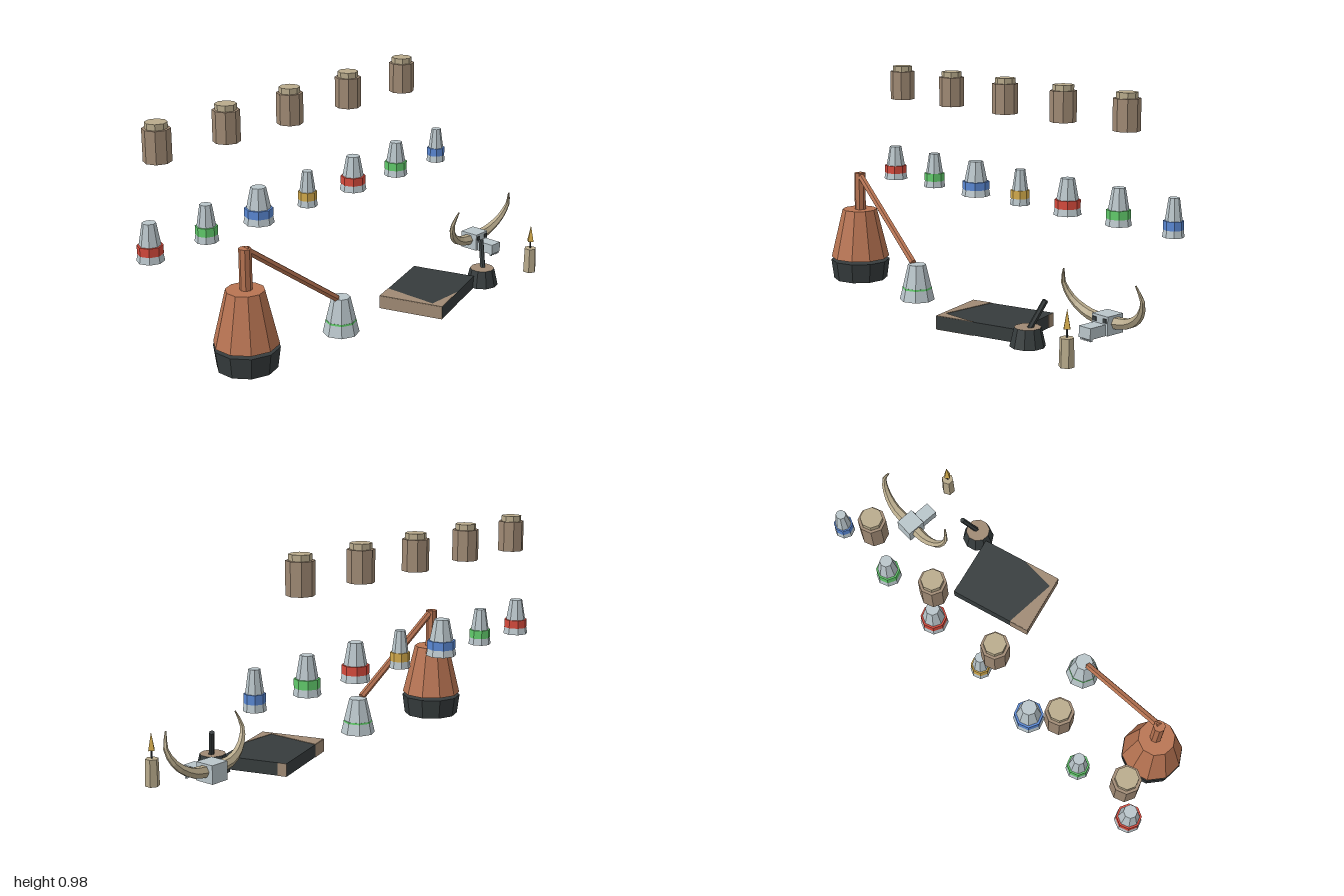
import * as THREE from 'three';

const mat = (name, color) => {
  const m = new THREE.MeshStandardMaterial({ color });
  m.name = name;
  return m;
};

export function createModel() {
  const copper = mat('copper', 0xb87452);
  const dark = mat('charcoal', 0x363c3d);
  const glass = mat('pale glass', 0xb9c5ca);
  const red = mat('red', 0xd64a3c);
  const green = mat('green', 0x62cc6c);
  const blue = mat('blue', 0x5a88d4);
  const yellow = mat('yellow', 0xd4ab4c);
  const bone = mat('bone', 0xb9ab8c);
  const brown = mat('brown', 0xa08a74);

  const model = new THREE.Group();
  model.name = 'alchemyTable';

  // Faceted mesh helper
  const add = (name, geo, material, x = 0, y = 0, z = 0, parent = model) => {
    const old = geo.groups;
    const g = geo.index ? geo.toNonIndexed() : geo;
    g.computeVertexNormals();
    if (Array.isArray(material)) g.groups = old;
    const mesh = new THREE.Mesh(g, material);
    mesh.name = name;
    mesh.position.set(x, y, z);
    parent.add(mesh);
    return mesh;
  };
  // Upright frustum between two heights
  const frustum = (name, rTop, rBottom, y0, y1, sides, material, x, z, parent) =>
    add(name, new THREE.CylinderGeometry(rTop, rBottom, y1 - y0, sides), material, x, (y0 + y1) / 2, z, parent);
  // Straight rod between two points
  const rod = (name, a, b, r, sides, material) => {
    const p = new THREE.Vector3(...a), q = new THREE.Vector3(...b);
    const d = q.clone().sub(p);
    const m = add(name, new THREE.CylinderGeometry(r, r, d.length(), sides), material);
    m.position.copy(p).add(q).multiplyScalar(0.5);
    m.quaternion.setFromUnitVectors(new THREE.Vector3(0, 1, 0), d.normalize());
    return m;
  };
  const box = (name, w, h, d, material, x, y, z, parent) =>
    add(name, new THREE.BoxGeometry(w, h, d), material, x, y, z, parent);

  // Upper row of lidded jars
  for (let i = 0; i < 5; i++) {
    const x = -0.89 + i * 0.367;
    frustum('jar', 0.058, 0.058, 0.82, 0.955, 8, brown, x, -0.285);
    frustum('jarLid', 0.046, 0.046, 0.955, 0.98, 8, bone, x, -0.285);
  }

  // Middle row of banded bottles
  const bottleRadii = [0.057, 0.051, 0.067, 0.045, 0.061, 0.056, 0.045];
  const bandColours = [red, green, blue, yellow, red, green, blue];
  bottleRadii.forEach((r, i) => {
    const x = -0.95 + i * 0.2985;
    frustum('bottle', r * 0.5, r, 0.42, 0.58, 8, glass, x, -0.285);
    frustum('bottleBand', r * 0.93, r * 0.93, 0.45, 0.487, 8, bandColours[i], x, -0.285);
  });

  // Still: firebox, copper pot, neck, sloping pipe and receiver
  frustum('stillBase', 0.137, 0.125, 0.01, 0.1, 10, dark, -0.775, 0.07);
  frustum('stillPot', 0.08, 0.135, 0.113, 0.34, 10, copper, -0.775, 0.07);
  frustum('stillNeck', 0.026, 0.026, 0.34, 0.512, 8, copper, -0.77, 0.07);
  rod('stillPipe', [-0.77, 0.507, 0.072], [-0.31, 0.172, 0.125], 0.016, 6, copper);
  frustum('receiver', 0.04, 0.078, 0.01, 0.17, 8, glass, -0.283, 0.125);
  frustum('receiverBand', 0.0655, 0.0665, 0.06, 0.068, 8, green, -0.283, 0.125);

  // Closed book with worn corners
  const book = new THREE.Group();
  book.name = 'book';
  book.position.set(0.26, 0, 0.15);
  book.rotation.y = 0.3;
  model.add(book);
  box('bookCover', 0.39, 0.056, 0.295, dark, 0, 0.03, 0, book);
  box('bookEnd', 0.002, 0.056, 0.295, brown, -0.1955, 0.03, 0, book);
  box('bookBackCorner', 0.09, 0.056, 0.002, brown, -0.15, 0.03, -0.148, book);
  box('bookRightCorner', 0.002, 0.056, 0.04, brown, 0.1955, 0.03, -0.1275, book);
  const wear = new THREE.Shape([[0.03, 0.067], [0.117, 0.04], [0.117, 0.295], [0.289, 0.295], [0.117, 0.3485]]
    .map(([x, z]) => new THREE.Vector2(x, -z)));
  for (const y of [0, 0.058]) {
    const plate = new THREE.ExtrudeGeometry(wear, { depth: 0.002, bevelEnabled: false });
    plate.rotateX(-Math.PI / 2);
    add('bookWornCorner', plate, brown, 0, y, 0);
  }

  // Mortar and pestle
  frustum('mortar', 0.055, 0.073, 0.005, 0.083, 10, [dark, brown, brown], 0.547, 0.235);
  rod('pestle', [0.55, 0.06, 0.24], [0.597, 0.193, 0.187], 0.012, 6, dark);

  // Horned skull
  const skull = new THREE.Group();
  skull.name = 'skull';
  skull.position.x = 0.772;
  model.add(skull);
  box('skullHead', 0.085, 0.078, 0.088, glass, 0, 0.107, 0.016, skull);
  box('skullSnout', 0.062, 0.046, 0.09, glass, 0, 0.09, 0.1, skull);
  for (let i = 0; i < 4; i++) box('tooth', 0.009, 0.012, 0.009, glass, -0.024 + i * 0.016, 0.063, 0.135, skull);

  for (const s of [-1, 1]) {
    box('eye', 0.02, 0.018, 0.004, dark, s * 0.027, 0.127, 0.061, skull);
    // Tapered horn: each ring of a tube is pulled toward its centre
    const curve = new THREE.CatmullRomCurve3([
      [0.03, 0.113, 0.015], [0.11, 0.125, 0.015], [0.18, 0.17, 0.03], [0.212, 0.235, 0.05], [0.192, 0.303, 0.07],
    ].map(([x, y, z]) => new THREE.Vector3(s * x, y, z)));
    const steps = 9, sides = 6;
    const geo = new THREE.TubeGeometry(curve, steps, 0.026, sides);
    const pos = geo.attributes.position, v = new THREE.Vector3();
    for (let i = 0; i < pos.count; i++) {
      const t = Math.floor(i / (sides + 1)) / steps;
      const c = curve.getPointAt(t);
      v.fromBufferAttribute(pos, i).sub(c).multiplyScalar(1 - 0.88 * t ** 1.4).add(c);
      pos.setXYZ(i, v.x, v.y, v.z);
    }
    add('horn', geo, bone, 0, 0, 0, skull);
  }

  // Candle
  frustum('candle', 0.028, 0.031, 0, 0.115, 6, bone, 0.83, 0.3);
  frustum('wick', 0.004, 0.004, 0.115, 0.15, 5, dark, 0.83, 0.3);
  add('flame', new THREE.ConeGeometry(0.018, 0.077, 4), yellow, 0.83, 0.188, 0.3);

  return model;
}
